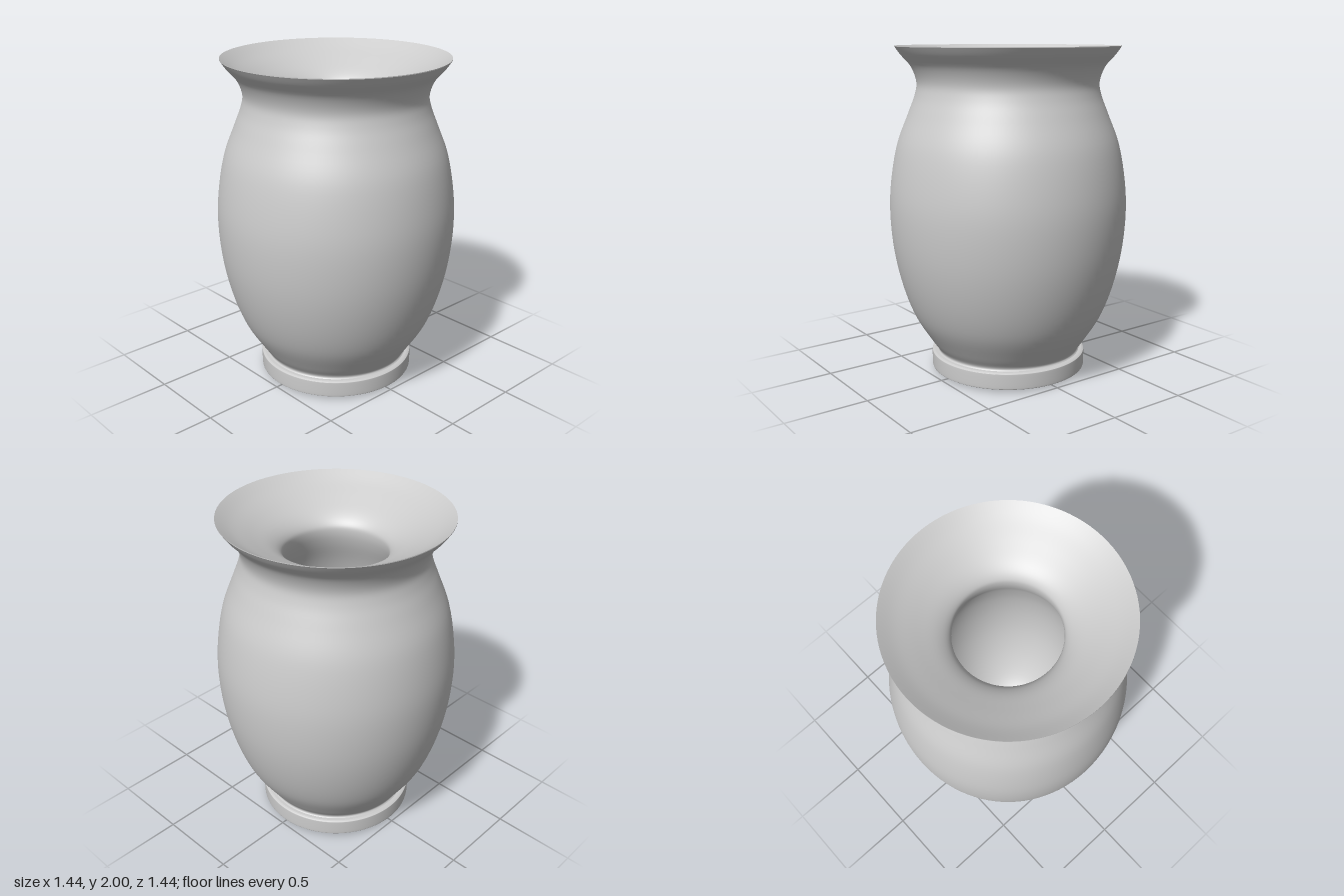
import * as THREE from 'three';

const SEGMENTS = 96;
const material = new THREE.MeshStandardMaterial({ color: 0xcccccc, side: THREE.DoubleSide });

// Smooth curve through [radius, height] pairs
function smooth(pairs, steps) {
  const curve = new THREE.SplineCurve(pairs.map(([r, y]) => new THREE.Vector2(r, y)));
  const points = curve.getPoints(steps);
  points.forEach((p) => { p.x = Math.max(p.x, 0); });
  return points;
}

function turned(name, points) {
  const mesh = new THREE.Mesh(new THREE.LatheGeometry(points, SEGMENTS), material);
  mesh.name = name;
  return mesh;
}

export function createModel() {
  const vase = new THREE.Group();
  vase.name = 'vase';

  // Bellied outer wall, from the foot to the flared lip
  vase.add(turned('outerWall', smooth([
    [0.45, 0.12], [0.445, 0.14], [0.49, 0.205], [0.585, 0.36], [0.655, 0.55],
    [0.703, 0.77], [0.722, 1.0], [0.711, 1.2], [0.67, 1.42], [0.602, 1.6],
    [0.56, 1.71], [0.548, 1.79], [0.58, 1.88], [0.64, 1.95], [0.672, 1.995],
  ], 70)));

  // Funnel mouth narrowing to the throat, then the hollow with its rounded floor
  vase.add(turned('innerWall', smooth([
    [0.672, 2.0], [0.59, 1.95], [0.48, 1.895], [0.375, 1.84], [0.318, 1.79],
    [0.305, 1.74], [0.325, 1.65], [0.39, 1.48], [0.45, 1.25], [0.472, 1.0],
    [0.45, 0.75], [0.38, 0.52], [0.27, 0.34], [0.14, 0.25], [0, 0.22],
  ], 70)));

  // Thin lip joining both walls
  vase.add(turned('lip', [new THREE.Vector2(0.672, 1.995), new THREE.Vector2(0.672, 2.0)]));

  // Foot ring: flat top, straight side, small bevel
  const foot = new THREE.Group();
  foot.name = 'foot';
  foot.add(
    turned('footSide', smooth([[0.465, 0.014], [0.476, 0.018], [0.48, 0.03], [0.48, 0.105], [0.477, 0.115], [0.465, 0.12]], 20)),
    turned('footTop', [new THREE.Vector2(0.465, 0.12), new THREE.Vector2(0.44, 0.122)]),
    turned('footUnderside', [new THREE.Vector2(0, 0), new THREE.Vector2(0.2, 0.003), new THREE.Vector2(0.465, 0.014)]),
  );
  vase.add(foot);

  return vase;
}
